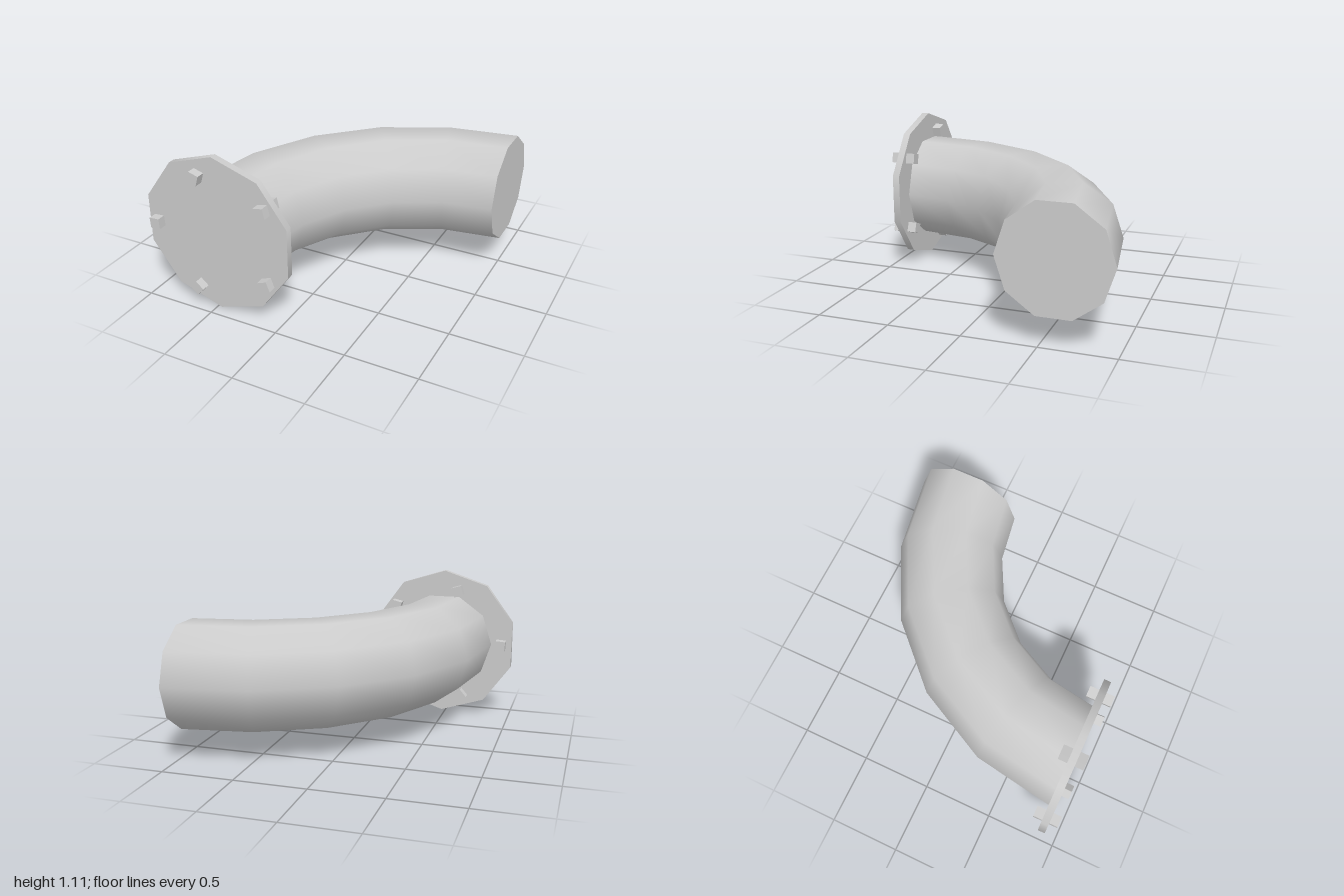
import * as THREE from 'three';

const SIDES = 10;
const PIPE_RADIUS = 0.376;
const BEND_RADIUS = 1.47;
const AXIS_Y = 0.557;
const BEND_Z = 0.871;
const FLANGE_X = 1 - BEND_RADIUS;

export function createModel() {
  const group = new THREE.Group();
  const metal = new THREE.MeshStandardMaterial({ color: 0xcccccc });
  metal.name = 'grey metal';

  const add = (name, geometry, x, y, z) => {
    const mesh = new THREE.Mesh(geometry, metal);
    mesh.name = name;
    mesh.position.set(x, y, z);
    group.add(mesh);
    return mesh;
  };

  // Quarter-turn pipe: a ten-sided ring swept around the bend centre
  const profile = [];
  for (let i = 0; i <= SIDES; i++) {
    const a = (i / SIDES) * Math.PI * 2;
    profile.push(new THREE.Vector2(BEND_RADIUS + PIPE_RADIUS * Math.cos(a), PIPE_RADIUS * Math.sin(a)));
  }
  const bend = new THREE.LatheGeometry(profile, 5, Math.PI, Math.PI / 2);
  // Normals point away from the pipe's centre line, so the seam is smooth
  const pos = bend.attributes.position;
  const p = new THREE.Vector3();
  const c = new THREE.Vector3();
  for (let i = 0; i < pos.count; i++) {
    p.fromBufferAttribute(pos, i);
    c.set(p.x, 0, p.z).setLength(BEND_RADIUS);
    p.sub(c).normalize();
    bend.attributes.normal.setXYZ(i, p.x, p.y, p.z);
  }
  add('pipeBend', bend, 1, AXIS_Y, BEND_Z);

  // Flat cap closing the free end
  const cap = new THREE.CircleGeometry(PIPE_RADIUS, SIDES).rotateY(Math.PI / 2);
  add('pipeEndCap', cap, 1, AXIS_Y, BEND_Z - BEND_RADIUS);

  // Flange plate
  const flange = new THREE.CylinderGeometry(0.557, 0.557, 0.05, SIDES).rotateX(Math.PI / 2);
  add('flange', flange, FLANGE_X, AXIS_Y, 0.889);

  // Square bolts through the flange: x, y and tilt in degrees
  const bolts = [
    [-0.58, 0.965, -17],
    [-0.1, 0.833, 13],
    [-0.92, 0.56, 4],
    [-0.62, 0.14, -41],
    [-0.092, 0.303, 21],
  ];
  const boltGeometry = new THREE.BoxGeometry(0.073, 0.073, 0.174);
  bolts.forEach(([x, y, tilt], i) => {
    add(`bolt${i + 1}`, boltGeometry, x, y, 0.887).rotation.z = THREE.MathUtils.degToRad(tilt);
  });

  return group;
}
